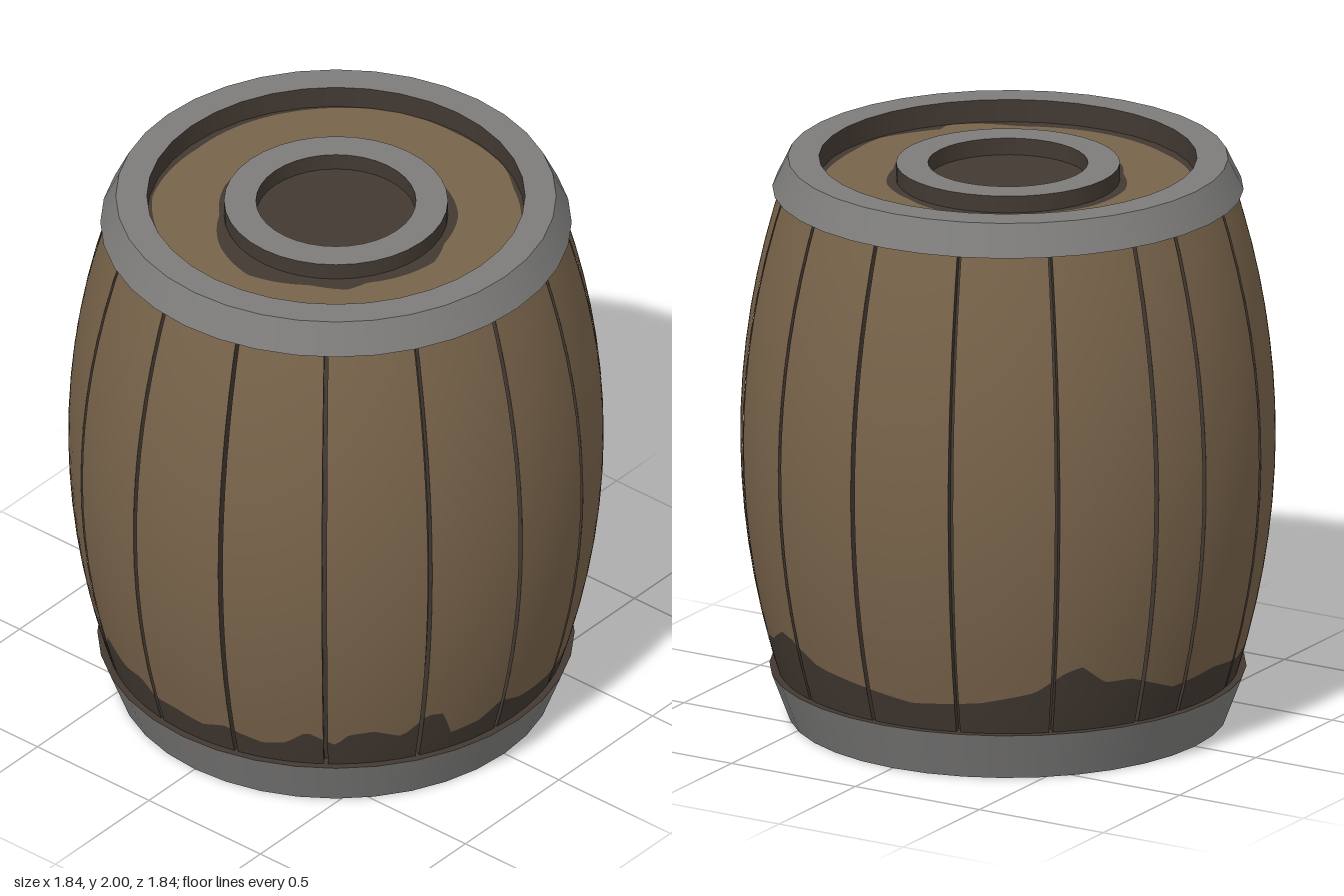
import * as THREE from 'three';
import { mergeGeometries } from 'three/addons/utils/BufferGeometryUtils.js';

const RAD = Math.PI / 180;

const mat = (name, color, side = THREE.FrontSide) => {
  const m = new THREE.MeshStandardMaterial({ color, side });
  m.name = name;
  return m;
};

// Grid surface from f(u, v) -> [x, y, z]; faces point along dv x du
function patch(f, nu, nv) {
  const pos = [], idx = [];
  for (let j = 0; j <= nv; j++)
    for (let i = 0; i <= nu; i++) pos.push(...f(i / nu, j / nv));
  for (let j = 0; j < nv; j++)
    for (let i = 0; i < nu; i++) {
      const a = j * (nu + 1) + i, b = a + 1, d = a + nu + 1, c = d + 1;
      idx.push(a, d, b, b, d, c);
    }
  const g = new THREE.BufferGeometry();
  g.setAttribute('position', new THREE.Float32BufferAttribute(pos, 3));
  g.setIndex(idx);
  g.computeVertexNormals();
  return g;
}

const polar = (r, deg, y) => [r * Math.cos(deg * RAD), y, r * Math.sin(deg * RAD)];
const lerp = THREE.MathUtils.lerp;

// Looping lookup in a list of [degrees, value]
function sample(table, deg) {
  const a = ((deg % 360) + 360) % 360;
  let i = table.length - 1;
  while (i > 0 && table[i][0] > a) i--;
  const [a0, v0] = table[i];
  const [a1, v1] = i + 1 < table.length ? table[i + 1] : [360, table[0][1]];
  return lerp(v0, v1, (a - a0) / (a1 - a0));
}

// Barrel bulge
const bulge = (y) => 0.92 - 0.14 * ((y - 1.01) / 0.88) ** 2;

// Height of the dirt line around the foot
const DIRT = [
  [0, 0.27], [7, 0.31], [13, 0.26], [21, 0.25], [24, 0.36], [28, 0.37], [34, 0.29],
  [41, 0.33], [47, 0.32], [50, 0.27], [57, 0.33], [62, 0.27], [68, 0.25], [78, 0.29],
  [84, 0.26], [92, 0.28], [99, 0.28], [103, 0.33], [110, 0.32], [118, 0.37], [122, 0.3],
  [126, 0.4], [129, 0.41], [132, 0.29], [141, 0.27], [150, 0.31], [165, 0.27], [180, 0.3],
  [195, 0.28], [208, 0.35], [215, 0.35], [221, 0.42], [225, 0.4], [232, 0.33], [245, 0.29],
  [262, 0.27], [275, 0.3], [290, 0.33], [299, 0.39], [304, 0.4], [312, 0.34], [318, 0.33],
  [325, 0.27], [347, 0.25],
];

// Edges of the clean wood on the lid
const LID_INNER = [[0, 0.44], [20, 0.43], [35, 0.42], [45, 0.45], [62, 0.43], [90, 0.47],
  [115, 0.44], [140, 0.4], [165, 0.42], [195, 0.42], [225, 0.4], [245, 0.41], [270, 0.43],
  [295, 0.41], [320, 0.42], [345, 0.41]];
const LID_OUTER = [[0, 0.62], [15, 0.64], [27, 0.62], [36, 0.61], [40, 0.65], [48, 0.64],
  [62, 0.6], [90, 0.61], [120, 0.61], [150, 0.64], [180, 0.62], [200, 0.63], [228, 0.64],
  [250, 0.65], [270, 0.64], [295, 0.645], [305, 0.63], [325, 0.64], [350, 0.62]];

export function createModel() {
  const wood = mat('wood', 0x78634a);
  const dirt = mat('dark grime', 0x423932);
  const iron = mat('grey iron', 0x7d7c7b);

  const barrel = new THREE.Group();
  barrel.name = 'barrel';
  const add = (name, geo, material, parent = barrel) => {
    const m = new THREE.Mesh(geo, material);
    m.name = name;
    parent.add(m);
    return m;
  };
  // Turned band through two points; listed counterclockwise round the section
  const band = (name, r0, y0, r1, y1, material, parent) =>
    add(name, new THREE.LatheGeometry(
      [new THREE.Vector2(r0, y0), new THREE.Vector2(r1, y1)], 36), material, parent);

  // Staves: fifteen wide ones and a narrow closing one
  const seams = [];
  for (let i = 0; i < 9; i++) seams.push(6.3 + 23.1 * i);
  for (let i = 0; i < 8; i++) seams.push(204.6 + 23.1 * i);
  const Y0 = 0.12, Y1 = 1.92, GAP = 0.5, DEPTH = 0.035;
  const staves = new THREE.Group();
  staves.name = 'staves';
  barrel.add(staves);
  for (let i = 0; i < 16; i++) {
    const a0 = seams[i] + GAP, a1 = seams[i + 1] - GAP;
    const face = (lo, hi) => (u, v) => {
      const a = lerp(a0, a1, u), y = lerp(lo(a), hi(a), v);
      return polar(bulge(y), a, y);
    };
    const edge = (a) => sample(DIRT, a);
    add('stave', patch(face(edge, () => Y1), 14, 14), wood, staves);
    add('staveDirt', patch(face(() => Y0, edge), 14, 3), dirt, staves);
    const side = (a, from, to) => patch((u, v) => {
      const y = lerp(Y0, Y1, v);
      return polar(bulge(y) - lerp(from, to, u), a, y);
    }, 1, 14);
    add('staveSides', mergeGeometries([side(a0, DEPTH, 0), side(a1, 0, DEPTH)]), dirt, staves);
  }

  // Dark core behind the seams
  const core = [];
  for (let j = 0; j <= 14; j++) {
    const y = lerp(Y0, Y1, j / 14);
    core.push(new THREE.Vector2(bulge(y) - DEPTH, y));
  }
  add('seamCore', new THREE.LatheGeometry(core, 48), dirt);

  // Top hoop
  const topHoop = new THREE.Group();
  topHoop.name = 'topHoop';
  barrel.add(topHoop);
  band('topHoopUnderside', 0.72, 1.89, 0.81, 1.89, dirt, topHoop);
  band('topHoopOuter', 0.81, 1.89, 0.757, 2, iron, topHoop);
  band('topHoopRim', 0.757, 2, 0.65, 2, iron, topHoop);
  band('topHoopInner', 0.65, 2, 0.65, 1.92, dirt, topHoop);

  // Bottom hoop
  const bottomHoop = new THREE.Group();
  bottomHoop.name = 'bottomHoop';
  barrel.add(bottomHoop);
  band('bottomHoopUnderside', 0.62, 0, 0.755, 0, dirt, bottomHoop);
  band('bottomHoopOuter', 0.755, 0, 0.82, 0.172, iron, bottomHoop);
  band('bottomHoopTop', 0.82, 0.172, 0.74, 0.172, dirt, bottomHoop);
  band('bottomHoopInner', 0.62, 0.09, 0.62, 0, dirt, bottomHoop);
  band('base', 0, 0.09, 0.62, 0.09, dirt);

  // Lid: clean wood between two worn dirty borders
  const LID = 1.92;
  const ring = (outer, inner) => patch((u, v) =>
    polar(lerp(outer(u * 360), inner(u * 360), v), u * 360, LID), 120, 1);
  const inner = (a) => sample(LID_INNER, a), outer = (a) => sample(LID_OUTER, a);
  add('lidWood', ring(outer, inner), wood);
  add('lidOuterDirt', ring(() => 0.66, outer), dirt);
  add('lidCentre', ring(inner, () => 0), dirt);

  // Raised ring on the lid
  const lidRing = new THREE.Group();
  lidRing.name = 'lidRing';
  barrel.add(lidRing);
  band('lidRingOuter', 0.385, LID, 0.385, 1.98, dirt, lidRing);
  band('lidRingTop', 0.385, 1.98, 0.275, 1.98, iron, lidRing);
  band('lidRingInner', 0.275, 1.98, 0.275, LID, dirt, lidRing);

  return barrel;
}
